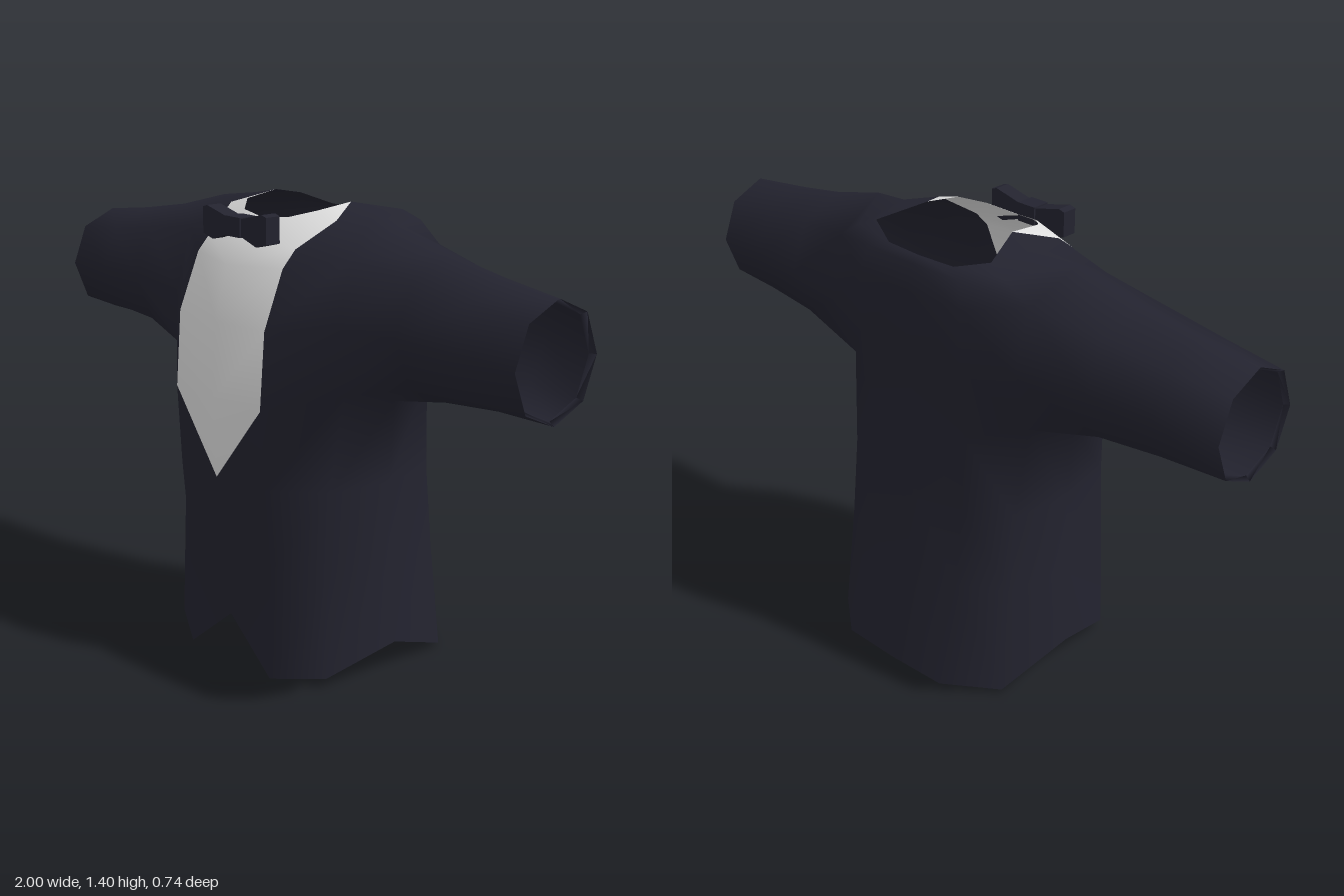
import * as THREE from 'three';

// Half cross-sections run from the front centre round the +x side to the back
// centre, seven points each.

// Waist and chest: flat sections given by a few depths and widths
function band(y, front, back, flankX, flankFront, flankBack, sideX, lift) {
  return [
    [0, y, front], [.197, y, front - .02], [flankX, y + lift, flankFront], [sideX, y + lift / 4, .01],
    [flankX, y + lift, -flankBack], [.2, y, .008 - back], [0, y, -back],
  ];
}

// Scalloped hem with longer tails at the back
const HEM = [[0, .15, .31], [.19, 0, .315], [.35, .03, .23], [.4, .1, 0], [.35, .01, -.24], [.2, .02, -.36], [0, .025, -.37]];

// Shoulder line, collar and neck edge
const SHOULDER = [[0, 1.23, .308], [.195, 1.24, .262], [.37, 1.28, .16], [.4, 1.362, 0], [.38, 1.285, -.175], [.2, 1.25, -.268], [0, 1.25, -.272]];
const COLLAR = [[0, 1.315, .25], [.195, 1.29, .215], [.24, 1.365, .1], [.27, 1.38, -.02], [.29, 1.345, -.185], [.18, 1.325, -.245], [0, 1.325, -.25]];
const NECK = [[0, 1.355, .175], [.1, 1.365, .16], [.16, 1.385, .1], [.17, 1.4, -.02], [.23, 1.37, -.17], [.13, 1.342, -.215], [0, 1.34, -.22]];

const torsoRows = () => [
  HEM,
  band(.35, .335, .295, .345, .22, .2, .385, 0),
  band(.6, .357, .265, .34, .21, .18, .375, 0),
  band(.84, .37, .257, .365, .18, .15, .395, .05),
  band(1.07, .352, .277, .37, .215, .225, .37, .02),
  SHOULDER, COLLAR, NECK,
];

// Sleeve rings: x, centre y, centre z, half height, half depth
const SLEEVE = [
  [.6, 1.1, .01, .21, .2],
  [.8, 1.092, .015, .184, .182],
  [1, 1.08, .02, .17, .16],
  [.985, 1.08, .022, .158, .147],
];
// Armhole edge as [row, column] of the torso grid, from the bottom towards the front
const ARMHOLE = [[3, 3], [3, 2], [4, 2], [5, 2], [5, 3], [5, 4], [4, 4], [3, 4]];

// Shirt area of the grid: full quad, or upper triangle only
function shirtArea(r, c) {
  if ((r === 2 && c === 0) || (r === 6 && c === 2)) return 'upper';
  if ((r >= 3 && c === 0) || (r === 6 && c === 1)) return 'full';
  return 'none';
}

function buildGarment() {
  const points = [];
  const add = (p) => points.push(p) - 1;
  const tris = { jacket: [], shirtFront: [], sleeve: [] };
  const grid = torsoRows().map((row) => row.map(add));

  for (let r = 0; r < grid.length - 1; r++) {
    for (let c = 0; c < 6; c++) {
      if ((r === 3 || r === 4) && (c === 2 || c === 3)) continue; // armhole
      const a = grid[r][c], b = grid[r][c + 1], d = grid[r + 1][c + 1], e = grid[r + 1][c];
      const area = shirtArea(r, c);
      tris[area === 'full' ? 'shirtFront' : 'jacket'].push([a, b, d]);
      tris[area === 'none' ? 'jacket' : 'shirtFront'].push([a, d, e]);
    }
  }

  // Sleeve continues from the armhole edge
  const rings = [ARMHOLE.map(([r, c]) => grid[r][c])];
  for (const [x, cy, cz, h, d] of SLEEVE) {
    rings.push(ARMHOLE.map((_, i) => {
      const t = (i * Math.PI) / 4;
      return add([x, cy - h * Math.cos(t), cz + d * Math.sin(t)]);
    }));
  }
  for (let k = 0; k < rings.length - 1; k++) {
    for (let i = 0; i < 8; i++) {
      const j = (i + 1) % 8;
      const a = rings[k][i], b = rings[k + 1][i], c = rings[k + 1][j], d = rings[k][j];
      tris.sleeve.push([a, b, c], [a, c, d]);
    }
  }

  // Mirror to the other side, sharing the points on the centre line
  const n = points.length;
  const all = [...points, ...points.map(([x, y, z]) => [-x, y, z])];
  const flip = (list) => list.map((t) => t.map((i) => (points[i][0] === 0 ? i : i + n)).reverse());
  const parts = {
    jacket: [...tris.jacket, ...flip(tris.jacket)],
    shirtFront: [...tris.shirtFront, ...flip(tris.shirtFront)],
    leftSleeve: tris.sleeve,
    rightSleeve: flip(tris.sleeve),
  };

  // Smooth normals over the whole garment, then one geometry per part
  const whole = new THREE.BufferGeometry();
  whole.setAttribute('position', new THREE.Float32BufferAttribute(all.flat(), 3));
  whole.setIndex(Object.values(parts).flat(2));
  whole.computeVertexNormals();
  const geometries = {};
  for (const [name, list] of Object.entries(parts)) {
    whole.setIndex(list.flat());
    geometries[name] = whole.toNonIndexed();
  }
  return geometries;
}

export function createModel() {
  const model = new THREE.Group();
  model.name = 'dinnerJacket';

  const darkCloth = new THREE.MeshStandardMaterial({ color: 0x23232f, side: THREE.DoubleSide });
  darkCloth.name = 'darkCloth';
  const whiteCloth = new THREE.MeshStandardMaterial({ color: 0xe0e0e0, side: THREE.DoubleSide });
  whiteCloth.name = 'whiteCloth';

  for (const [name, geometry] of Object.entries(buildGarment())) {
    const mesh = new THREE.Mesh(geometry, name === 'shirtFront' ? whiteCloth : darkCloth);
    mesh.name = name;
    model.add(mesh);
  }

  // Bow tie: two flared wings and a knot
  const bowTie = new THREE.Group();
  bowTie.name = 'bowTie';
  bowTie.position.set(0, 1.338, .255);
  const wing = new THREE.Shape([
    new THREE.Vector2(.02, -.022), new THREE.Vector2(.1, -.048), new THREE.Vector2(.145, -.036),
    new THREE.Vector2(.145, .042), new THREE.Vector2(.125, .048), new THREE.Vector2(.02, .022),
  ]);
  const wingGeometry = new THREE.ExtrudeGeometry(wing, { depth: .05, bevelEnabled: false });
  wingGeometry.translate(0, 0, -.025);
  for (const side of [1, -1]) {
    const mesh = new THREE.Mesh(wingGeometry, darkCloth);
    mesh.name = side > 0 ? 'leftBowWing' : 'rightBowWing';
    mesh.scale.x = side;
    bowTie.add(mesh);
  }
  const knot = new THREE.Mesh(new THREE.BoxGeometry(.065, .058, .06), darkCloth);
  knot.name = 'bowKnot';
  bowTie.add(knot);
  model.add(bowTie);

  return model;
}
